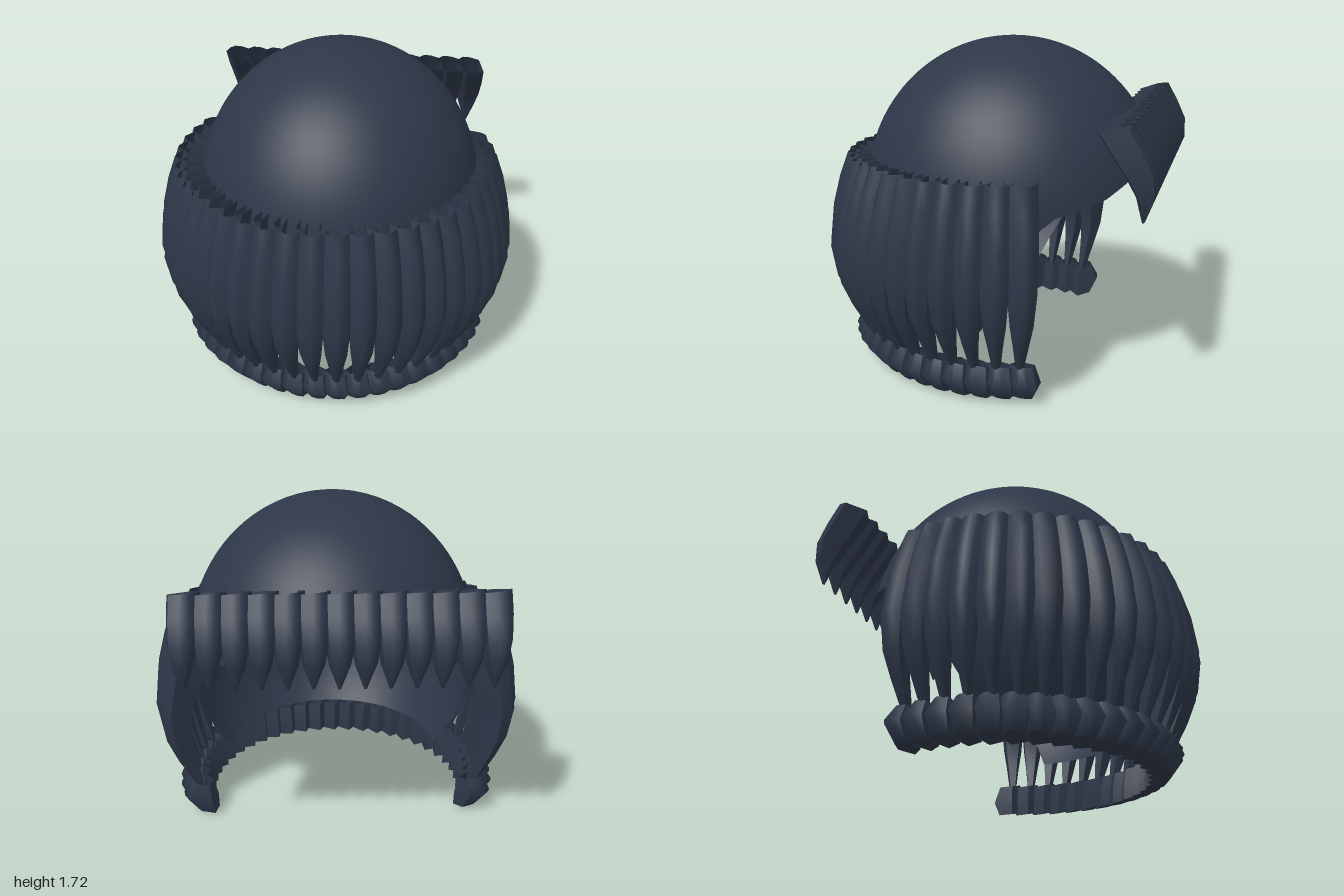
import * as THREE from 'three';
import { ParametricGeometry } from 'three/addons/geometries/ParametricGeometry.js';

const darkSlate = new THREE.MeshStandardMaterial({ color: 0x2d3748, side: THREE.DoubleSide });
darkSlate.name = 'darkSlate';

// Cross-section of a lock: x is sideways, y is outwards.
const SECTION = [[-1, 0.4], [-0.45, 0.82], [0.08, 1], [0.55, 0.85], [1, 0.45], [0.75, -0.9], [-0.65, -1]];
// Faces of a lock as runs of section points: rounded outside, flat sides and inside.
const FACES = [[0, 1, 2, 3, 4], [4, 5], [5, 6], [6, 0]];

// Lofts a hollow lock, open at the top, from rings of
// [height, distance out, half width, half depth].
function lockGeometry(rings, slope = 0, twist = 0) {
  const pos = [];
  const index = [];
  const c = Math.cos(twist), s = Math.sin(twist);
  const point = ([y, out, w, d], j) => {
    const [a, b] = SECTION[j];
    const u = a * w, v = b * d;
    return [u * c - v * s, y + slope * v, out + u * s + v * c];
  };
  for (const face of FACES) {
    const start = pos.length / 3;
    const n = face.length;
    for (const ring of rings) for (const j of face) pos.push(...point(ring, j));
    for (let i = 0; i < rings.length - 1; i++) {
      for (let j = 0; j < n - 1; j++) {
        const k = start + i * n + j;
        index.push(k, k + n, k + n + 1, k, k + n + 1, k + 1);
      }
    }
  }
  // Bottom cap
  const start = pos.length / 3;
  SECTION.forEach((_, j) => pos.push(...point(rings[rings.length - 1], j)));
  for (let j = 1; j < SECTION.length - 1; j++) index.push(start, start + j + 1, start + j);

  const geometry = new THREE.BufferGeometry();
  geometry.setAttribute('position', new THREE.Float32BufferAttribute(pos, 3));
  geometry.setIndex(index);
  geometry.computeVertexNormals();
  return geometry;
}

// Open cap: an ellipsoid whose lower rim rises towards the face opening at -z.
function capGeometry() {
  const cy = 0.9, above = 0.82, below = 0.95;
  const { mapLinear } = THREE.MathUtils;
  const rim = (c) => {
    if (c >= 0) return 0.27;
    if (c > -0.45) return mapLinear(c, 0, -0.45, 0.27, 0.92);
    if (c > -0.75) return mapLinear(c, -0.45, -0.75, 0.92, 0.99);
    return mapLinear(c, -0.75, -1, 0.99, 1.12);
  };
  return new ParametricGeometry((u, v, target) => {
    const az = Math.PI - u * Math.PI * 2;
    const drop = rim(Math.cos(az)) - cy;
    const end = Math.acos(drop / (drop > 0 ? above : below));
    const theta = 0.002 + v * (end - 0.002);
    const y = Math.cos(theta);
    target.set(
      0.02 + 0.77 * Math.sin(theta) * Math.sin(az),
      cy + y * (y > 0 ? above : below),
      -0.075 + 0.8 * Math.sin(theta) * Math.cos(az)
    );
  }, 72, 32);
}

// Repeats a lock along an arc that is open towards -z.
function lockArc(name, geometry, count, z) {
  const group = new THREE.Group();
  group.name = name;
  group.position.z = z;
  const halfAngle = THREE.MathUtils.degToRad(110);
  for (let i = 0; i < count; i++) {
    const lock = new THREE.Mesh(geometry, darkSlate);
    lock.name = name + 'Lock';
    lock.rotation.y = THREE.MathUtils.lerp(-halfAngle, halfAngle, i / (count - 1));
    group.add(lock);
  }
  return group;
}

export function createModel() {
  const model = new THREE.Group();
  model.name = 'hair';

  const cap = new THREE.Mesh(capGeometry(), darkSlate);
  cap.name = 'cap';
  model.add(cap);

  // Long locks round the sides, deep at the top and thin at the tip
  const longLock = lockGeometry([
    [1.11, 0.757, 0.08, 0.124],
    [0.98, 0.81, 0.081, 0.12],
    [0.82, 0.861, 0.079, 0.111],
    [0.62, 0.91, 0.07, 0.086],
    [0.45, 0.905, 0.055, 0.063],
    [0.32, 0.865, 0.036, 0.048],
    [0.2, 0.818, 0.022, 0.03],
    [0.1, 0.785, 0.007, 0.01],
  ]);
  model.add(lockArc('longHair', longLock, 29, -0.05));

  // Chunky curled ends along the bottom
  const curledEnd = lockGeometry([
    [0.19, 0.785, 0.06, 0.05],
    [0.1, 0.804, 0.085, 0.088],
    [0.015, 0.765, 0.06, 0.055],
  ], 0.25, 0.45);
  model.add(lockArc('curledEnds', curledEnd, 29, -0.07));

  // Straight row of short curved locks above the face opening
  const fringeLock = lockGeometry([
    [1.38, 0.75, 0.074, 0.084],
    [1.28, 0.812, 0.074, 0.08],
    [1.18, 0.87, 0.066, 0.07],
    [1.08, 0.897, 0.048, 0.044],
    [0.96, 0.885, 0.006, 0.006],
  ], 0.25, -0.45);
  const fringe = new THREE.Group();
  fringe.name = 'fringe';
  for (let i = 0; i < 13; i++) {
    const lock = new THREE.Mesh(fringeLock, darkSlate);
    lock.name = 'fringeLock';
    lock.position.x = -0.7 + i * 0.118;
    lock.rotation.y = Math.PI;
    fringe.add(lock);
  }
  model.add(fringe);

  return model;
}
